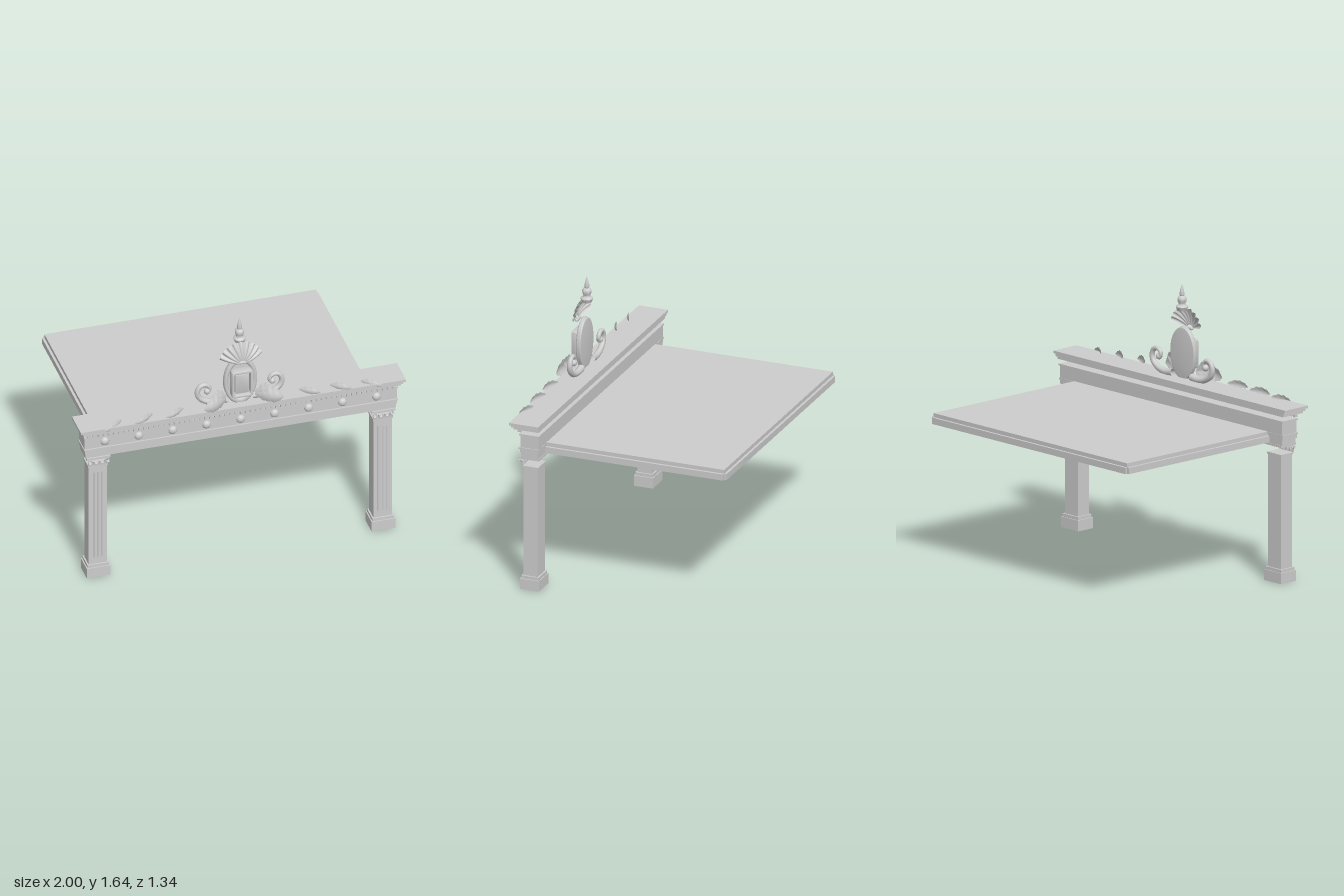
import * as THREE from 'three';
import { toCreasedNormals } from 'three/addons/utils/BufferGeometryUtils.js';

export function createModel() {
  const root = new THREE.Group();
  const stone = new THREE.MeshStandardMaterial({ color: 0xcccccc, side: THREE.DoubleSide });
  stone.name = 'grey stone';

  const add = (name, geo, x = 0, y = 0, z = 0, parent = root) => {
    const m = new THREE.Mesh(geo, stone);
    m.name = name;
    m.position.set(x, y, z);
    parent.add(m);
    return m;
  };
  const group = (name) => {
    const g = new THREE.Group();
    g.name = name;
    root.add(g);
    return g;
  };
  // Box given by its extents
  const box = (name, x0, x1, y0, y1, z0, z1, parent) =>
    add(name, new THREE.BoxGeometry(x1 - x0, y1 - y0, z1 - z0),
      (x0 + x1) / 2, (y0 + y1) / 2, (z0 + z1) / 2, parent);
  // Surface from a rule (u, v) -> [x, y, z]
  const surface = (nu, nv, rule) => {
    const g = new THREE.PlaneGeometry(1, 1, nu, nv);
    const p = g.attributes.position;
    for (let i = 0; i < p.count; i++) p.setXYZ(i, ...rule(p.getX(i) + 0.5, p.getY(i) + 0.5));
    g.computeVertexNormals();
    return g;
  };
  const rounded = (w, h, r) => {
    const s = new THREE.Shape();
    s.moveTo(-w + r, -h).lineTo(w - r, -h).quadraticCurveTo(w, -h, w, -h + r);
    s.lineTo(w, h - r).quadraticCurveTo(w, h, w - r, h);
    s.lineTo(-w + r, h).quadraticCurveTo(-w, h, -w, h - r);
    s.lineTo(-w, -h + r).quadraticCurveTo(-w, -h, -w + r, -h);
    return s;
  };
  const extrude = (shape, depth, bevel = 0) => toCreasedNormals(new THREE.ExtrudeGeometry(shape, {
    depth: depth - 2 * bevel, bevelEnabled: bevel > 0, bevelSize: bevel, bevelThickness: bevel,
    bevelOffset: -bevel, bevelSegments: 2, curveSegments: 24,
  }).translate(0, 0, bevel), 0.6);

  // Pilasters with flutes and leafy capitals
  for (const s of [-1, 1]) {
    const g = group(s < 0 ? 'rightPilaster' : 'leftPilaster');
    g.position.x = s * 0.876;
    box('plinth', -0.073, 0.073, 0, 0.066, 0.475, 0.597, g);
    box('baseMoulding', -0.066, 0.066, 0.066, 0.085, 0.48, 0.59, g);
    box('shaft', -0.057, 0.057, 0.085, 0.768, 0.49, 0.58, g);
    box('neckMoulding', -0.061, 0.061, 0.768, 0.781, 0.486, 0.584, g);
    box('abacus', -0.073, 0.073, 0.828, 0.842, 0.475, 0.597, g);
    for (const x of [-0.025, 0, 0.025]) {
      add('flute', new THREE.CylinderGeometry(0.006, 0.006, 0.6, 10), x, 0.43, 0.579, g);
    }
    for (let i = 0; i < 4; i++) {
      const x = (i - 1.5) * 0.03;
      add('capitalLeaf', surface(6, 8, (u, v) => {
        const w = 0.016 * Math.sqrt(Math.max(0, 1 - v * v * 0.85));
        return [x * (1 + 0.25 * v) + (u - 0.5) * 2 * w,
          0.78 + 0.036 * Math.sin(v * 2.1),
          0.585 + 0.028 * v * v + 0.005 * Math.cos((u - 0.5) * 3)];
      }), 0, 0, 0, g);
    }
    for (const t of [-1, 1]) {
      add('capitalVolute', new THREE.TorusGeometry(0.01, 0.004, 8, 16), t * 0.052, 0.814, 0.592, g);
    }
  }

  // Entablature: stepped beam, frieze, dentils and cornice
  const beam = group('entablature');
  box('lowerFascia', -0.955, 0.955, 0.842, 0.872, 0.478, 0.587, beam);
  box('upperFascia', -0.96, 0.96, 0.872, 0.895, 0.475, 0.592, beam);
  box('fillet', -0.965, 0.965, 0.895, 0.906, 0.472, 0.598, beam);
  box('frieze', -0.96, 0.96, 0.906, 0.982, 0.474, 0.588, beam);
  box('friezeCap', -0.965, 0.965, 0.982, 0.992, 0.47, 0.595, beam);
  for (let i = 0; i < 61; i++) {
    const x = (i - 30) * 0.0312;
    box('dentil', x - 0.0095, x + 0.0095, 0.994, 1.021, 0.592, 0.612, beam);
  }
  box('corniceSoffit', -0.975, 0.975, 1.02, 1.034, 0.468, 0.628, beam);
  box('corniceFace', -0.985, 0.985, 1.034, 1.051, 0.465, 0.637, beam);
  box('corniceTop', -1, 1, 1.051, 1.066, 0.46, 0.646, beam);

  // Frieze rosettes
  for (let i = -4; i <= 4; i++) {
    const r = add('rosette', new THREE.SphereGeometry(0.026, 20, 8, 0, Math.PI * 2, 0, Math.PI / 2),
      i * 0.209, 0.943, 0.588);
    r.rotation.x = Math.PI / 2;
    r.scale.y = 0.75;
    add('rosetteRim', new THREE.TorusGeometry(0.025, 0.003, 6, 20), i * 0.209, 0.943, 0.588);
  }

  // Coffered canopy
  const roof = group('canopy');
  box('roofSlab', -0.835, 0.835, 0.882, 0.908, -0.66, 0.476, roof);
  box('backMoulding', -0.835, 0.835, 0.845, 0.884, -0.675, -0.63, roof);
  box('frontMoulding', -0.835, 0.835, 0.85, 0.884, 0.44, 0.478, roof);
  for (const s of [-1, 1]) {
    const m = box('sideMoulding', -0.0275, 0.0275, 0.845, 0.884, -0.66, 0.476, roof);
    m.position.x = s * 0.8225;
  }
  const px = 0.4, pz = 0.2675;
  for (let i = 1; i < 4; i++) {
    const x = -0.8 + i * px, z = -0.63 + i * pz;
    box('lengthRib', x - 0.025, x + 0.025, 0.85, 0.883, -0.64, 0.45, roof);
    box('crossRib', -0.81, 0.81, 0.8502, 0.883, z - 0.025, z + 0.025, roof);
  }
  for (let i = 0; i < 4; i++) for (let j = 0; j < 4; j++) {
    const x = -0.8 + (i + 0.5) * px, z = -0.63 + (j + 0.5) * pz;
    const rim = rounded(px / 2 - 0.024, pz / 2 - 0.024, 0.001);
    rim.holes.push(rounded(px / 2 - 0.04, pz / 2 - 0.04, 0.001));
    add('cofferRim', extrude(rim, 0.01), x, 0.883, z, roof).rotation.x = Math.PI / 2;
    const boss = add('cofferBoss', new THREE.SphereGeometry(0.014, 12, 8), x, 0.882, z, roof);
    boss.scale.y = 0.6;
  }

  // Leaves along the cornice and the crest; they sweep outward and forward
  const leafGeo = (len, h, depth, rise, lobes) => surface(28, 8, (u, v) => {
    const t = v - 0.35;
    const half = h * Math.pow(Math.sin(Math.PI * Math.min(1, u * 0.98 + 0.01)), 0.7)
      * (1 + 0.1 * Math.sin(u * Math.PI * 2 * lobes));
    return [u * len, rise * u + half * t,
      depth * Math.sin(u * Math.PI / 2) + 0.12 * h * Math.cos(t * 4) * Math.sin(Math.PI * u)];
  });

  for (const s of [-1, 1]) {
    const side = group(s < 0 ? 'rightOrnament' : 'leftOrnament');
    side.scale.x = s;
    for (const [x, y, tilt] of [[0.355, 1.09, -0.01], [0.545, 1.085, -0.012], [0.735, 1.078, -0.025]]) {
      add('corniceLeaf', leafGeo(0.122, 0.046, 0.05, tilt, 4), x, y, 0.598, side);
    }
    // Scroll: tapering tube that curls up and back in
    const path = new THREE.CatmullRomCurve3([
      [0.08, 1.085], [0.14, 1.078], [0.2, 1.09], [0.245, 1.12], [0.26, 1.16],
      [0.245, 1.198], [0.215, 1.208], [0.19, 1.193], [0.186, 1.17], [0.2, 1.157],
    ].map(([x, y]) => new THREE.Vector3(x, y, 0.565)));
    const tube = new THREE.TubeGeometry(path, 48, 0.022, 12);
    const p = tube.attributes.position, c = new THREE.Vector3(), q = new THREE.Vector3();
    for (let i = 0; i < p.count; i++) {
      const t = Math.floor(i / 13) / 48;
      path.getPointAt(t, c);
      q.fromBufferAttribute(p, i).sub(c).multiplyScalar(1 - 0.45 * t).add(c);
      p.setXYZ(i, q.x, q.y, q.z);
    }
    tube.computeVertexNormals();
    add('scroll', tube, 0, 0, 0, side);
    add('scrollEye', new THREE.SphereGeometry(0.02, 14, 10), 0.2, 1.162, 0.565, side);
    // Acanthus at the foot of the scroll
    add('acanthusLarge', leafGeo(0.155, 0.11, 0.065, -0.01, 5), 0.088, 1.105, 0.592, side);
    add('acanthusSmall', leafGeo(0.11, 0.08, 0.04, 0.035, 4), 0.088, 1.115, 0.59, side);
  }

  // Cartouche: oval plate, rim, framed tablet
  const crest = group('cartouche');
  const oval = new THREE.Shape().absellipse(0, 0, 0.103, 0.157, 0, Math.PI * 2);
  add('ovalPlate', extrude(oval, 0.02, 0.004), 0, 1.215, 0.562, crest);
  const rim = add('ovalRim', new THREE.TorusGeometry(0.09, 0.013, 10, 48), 0, 1.215, 0.582, crest);
  rim.scale.set(1, 1.58, 1);
  const frame = rounded(0.066, 0.09, 0.02);
  frame.holes.push(rounded(0.05, 0.074, 0.014));
  add('tabletFrame', extrude(frame, 0.055, 0.004), 0, 1.212, 0.58, crest);
  add('tablet', extrude(rounded(0.043, 0.067, 0.01), 0.045, 0.006), 0, 1.212, 0.58, crest);

  // Ribbed shell fan
  const lobes = 9;
  add('shell', surface(lobes * 8, 10, (u, v) => {
    const a = THREE.MathUtils.lerp(Math.PI * 0.93, Math.PI * 0.07, u);
    const ridge = Math.abs(Math.sin(u * Math.PI * lobes));
    const r = 0.025 + v * (0.104 + 0.01 * ridge);
    return [Math.cos(a) * r, 1.352 + Math.sin(a) * r,
      0.628 - 0.046 * v * v + 0.014 * v * ridge];
  }));
  add('shellHinge', new THREE.CapsuleGeometry(0.01, 0.05, 6, 12), 0, 1.36, 0.618)
    .rotation.z = Math.PI / 2;

  // Turned finial
  const profile = [[0, 1.476], [0.028, 1.476], [0.037, 1.498], [0.035, 1.504], [0.022, 1.512],
    [0.02, 1.52], [0.027, 1.535], [0.028, 1.55], [0.022, 1.56], [0.013, 1.566],
    [0.016, 1.574], [0.011, 1.6], [0.005, 1.622], [0, 1.638]];
  add('finial', toCreasedNormals(new THREE.LatheGeometry(
    profile.map(([r, y]) => new THREE.Vector2(r, y)), 24), 0.7), 0, 0, 0.563);

  return root;
}
